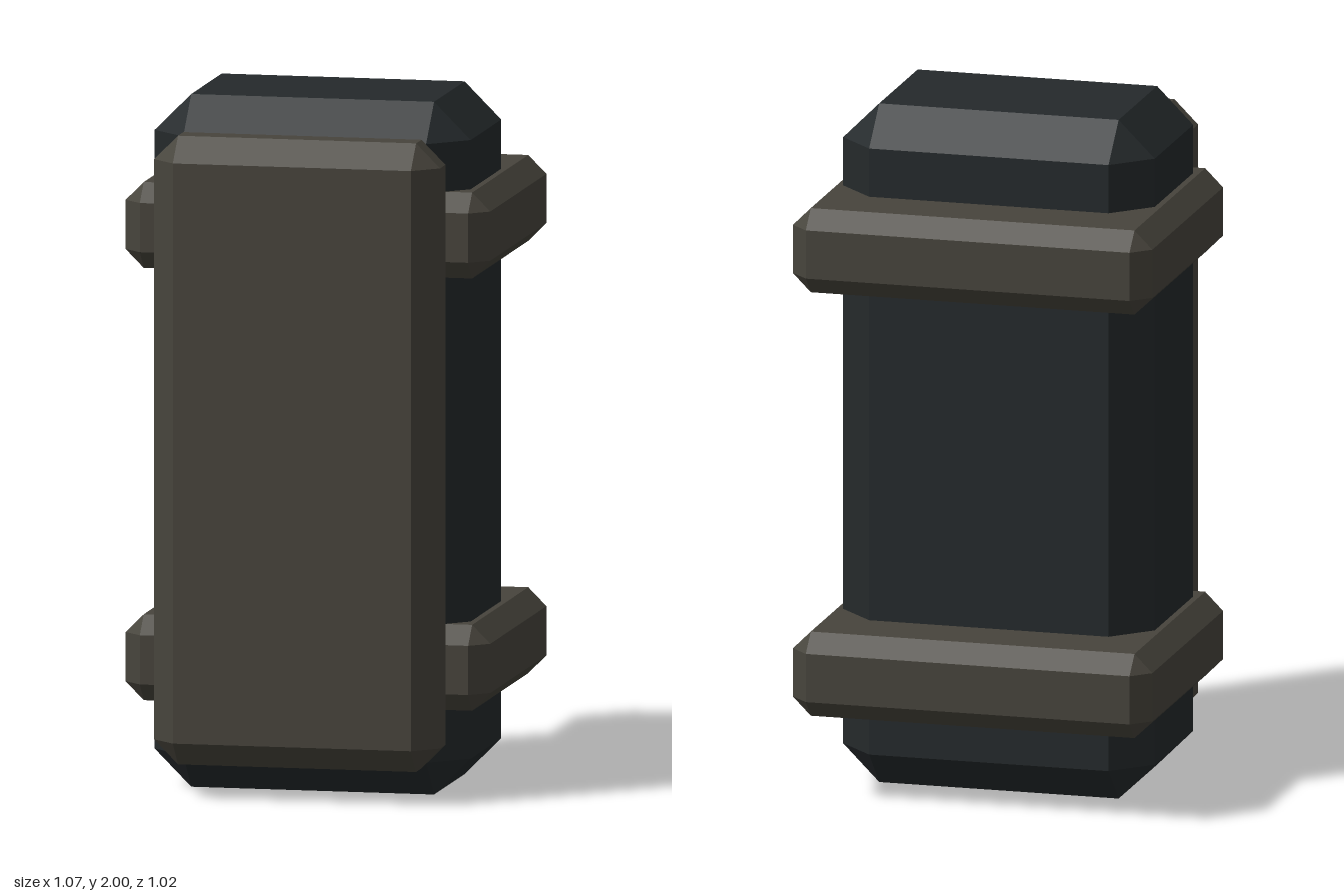
import * as THREE from 'three';
import { ConvexGeometry } from 'three/addons/geometries/ConvexGeometry.js';

// Box between two corners with every edge cut at 45 degrees
function chamferBox(name, min, max, c, material) {
  const half = max.map((v, i) => (v - min[i]) / 2);
  const points = [];
  for (const sx of [-1, 1]) for (const sy of [-1, 1]) for (const sz of [-1, 1]) {
    for (let axis = 0; axis < 3; axis++) {
      const p = half.map((h, i) => (i === axis ? h : h - c));
      points.push(new THREE.Vector3(sx * p[0], sy * p[1], sz * p[2]));
    }
  }
  const mesh = new THREE.Mesh(new ConvexGeometry(points), material);
  mesh.name = name;
  mesh.position.set(...max.map((v, i) => (v + min[i]) / 2));
  return mesh;
}

export function createModel() {
  const group = new THREE.Group();
  group.name = 'bandedCase';
  const dark = new THREE.MeshStandardMaterial({ color: 0x24292b, flatShading: true });
  const trim = new THREE.MeshStandardMaterial({ color: 0x47443c, flatShading: true });

  // Upright core
  group.add(chamferBox('body', [-0.462, 0, -0.285], [0.462, 2, 0.336], 0.107, dark));

  // Slab on the front
  group.add(chamferBox('frontPlate', [-0.418, 0.095, 0.295], [0.418, 1.91, 0.507], 0.07, trim));

  // Thick bands around the core, deeper at the back
  for (const [name, y] of [['lowerBand', 0.255], ['upperBand', 1.503]]) {
    group.add(chamferBox(name, [-0.533, y, -0.509], [0.533, y + 0.248, 0.345], 0.053, trim));
  }
  return group;
}
